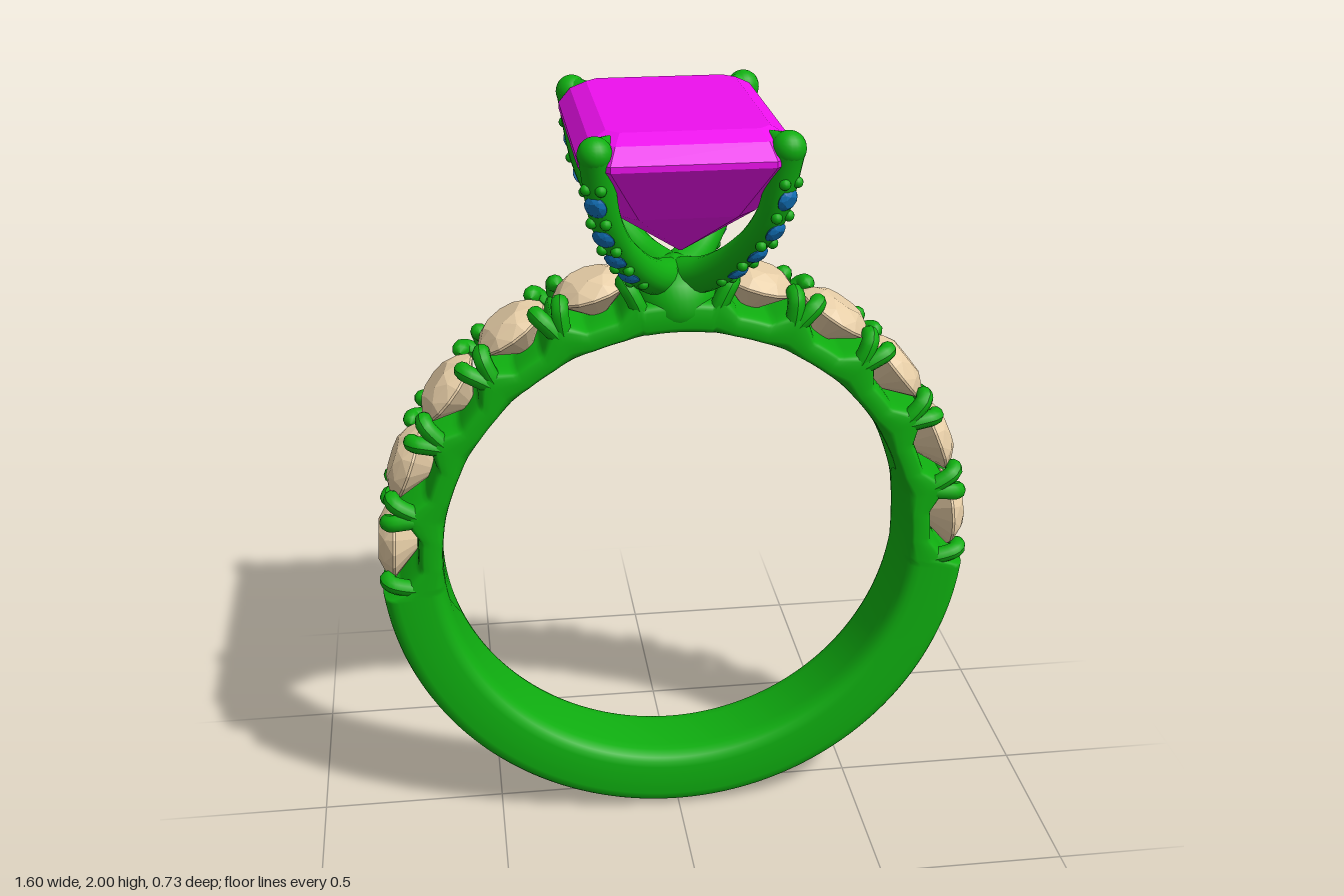
import * as THREE from 'three';
import { ConvexGeometry } from 'three/addons/geometries/ConvexGeometry.js';

const V = (x, y, z) => new THREE.Vector3(x, y, z);
const UP = V(0, 1, 0);
const CY = 0.797, OUTER = 0.797, INNER = 0.627, HALF_W = 0.122;
const STEP = 17.5, FIRST = -5.25, STONES = 5;

const metal = new THREE.MeshStandardMaterial({ color: 0x0fae10 });
const pale = new THREE.MeshStandardMaterial({ color: 0xe6cda6 });
const pink = new THREE.MeshStandardMaterial({ color: 0xee10ee });
const blue = new THREE.MeshStandardMaterial({ color: 0x1070b8 });

function add(parent, name, geometry, material) {
  const mesh = new THREE.Mesh(geometry, material);
  mesh.name = name;
  parent.add(mesh);
  return mesh;
}

// Tube whose radius follows a rule along its length
function taperedTube(curve, radiusAt, segments = 16, sides = 12) {
  const geo = new THREE.TubeGeometry(curve, segments, 1, sides);
  const pos = geo.attributes.position, p = V(0, 0, 0);
  for (let i = 0; i <= segments; i++) {
    const c = curve.getPointAt(i / segments), r = radiusAt(i / segments);
    for (let j = 0; j <= sides; j++) {
      const k = i * (sides + 1) + j;
      p.fromBufferAttribute(pos, k).sub(c).multiplyScalar(r).add(c);
      pos.setXYZ(k, p.x, p.y, p.z);
    }
  }
  geo.computeVertexNormals();
  return geo;
}

// Outer radius of the band: full below, scalloped under the stones
function bandRadius(deg) {
  let a = deg % 360;
  if (a > 90 && a < 270) a = 180 - a;
  if (a >= 270) a -= 360;
  if (a < FIRST) return OUTER;
  const f = (a - FIRST) / STEP;
  if (f > STONES) return 0.72;
  const away = Math.abs(f - Math.round(f)) * 2;
  return 0.755 - 0.06 * Math.min(1, away * 1.7);
}

// Rounded-rectangle section swept round the finger
function bandGeometry() {
  const N = 480, M = 28, pos = [], idx = [];
  const soft = v => Math.sign(v) * Math.pow(Math.abs(v), 0.45);
  for (let i = 0; i < N; i++) {
    const t = (i / N) * Math.PI * 2;
    const R = bandRadius((i / N) * 360), mid = (R + INNER) / 2, h = (R - INNER) / 2;
    for (let j = 0; j < M; j++) {
      const f = (j / M) * Math.PI * 2;
      const r = mid + h * soft(Math.cos(f));
      pos.push(r * Math.cos(t), CY + r * Math.sin(t), HALF_W * soft(Math.sin(f)));
      const i2 = (i + 1) % N, j2 = (j + 1) % M;
      const a = i * M + j, b = i2 * M + j, c = i2 * M + j2, d = i * M + j2;
      idx.push(a, b, c, a, c, d);
    }
  }
  const geo = new THREE.BufferGeometry();
  geo.setAttribute('position', new THREE.Float32BufferAttribute(pos, 3));
  geo.setIndex(idx);
  geo.computeVertexNormals();
  return geo;
}

// Round faceted stone, girdle at y = 0
function roundStone(r) {
  const pts = [V(0, -0.8 * r, 0)];
  const ring = (n, rad, y, turn) => {
    for (let i = 0; i < n; i++) {
      const a = ((i + turn) / n) * Math.PI * 2;
      pts.push(V(rad * Math.cos(a), y, rad * Math.sin(a)));
    }
  };
  ring(8, 0.54 * r, 0.4 * r, 0);
  ring(8, 0.8 * r, 0.25 * r, 0.5);
  ring(16, r, 0.03 * r, 0);
  ring(16, r, -0.03 * r, 0);
  return new ConvexGeometry(pts);
}

// Step-cut rectangular stone from clipped rectangles: y, half x, half z, corner clip
function stepCutStone() {
  const pts = [];
  for (const [y, x, z, c] of [
    [1.996, 0.195, 0.285, 0.03], [1.975, 0.235, 0.33, 0.055], [1.935, 0.265, 0.36, 0.07],
    [1.92, 0.265, 0.36, 0.07], [1.78, 0.17, 0.27, 0.05], [1.655, 0.004, 0.125, 0.002],
  ])
    for (const sx of [-1, 1]) for (const sz of [-1, 1])
      pts.push(V(sx * x, y, sz * (z - c)), V(sx * (x - c), y, sz * z));
  return new ConvexGeometry(pts);
}

export function createModel() {
  const model = new THREE.Group();
  model.name = 'ring';
  add(model, 'band', bandGeometry(), metal);

  // Point on the band: side, angle in degrees, radius, z
  const onBand = (s, deg, r, z) => {
    const a = THREE.MathUtils.degToRad(deg);
    return V(s * r * Math.cos(a), CY + r * Math.sin(a), z);
  };

  // Shoulder stones and their paired claws
  const shoulderStone = roundStone(0.105);
  const clawRadius = t => 0.023 * Math.sqrt(Math.max(0, 1 - Math.pow(Math.max(0, (t - 0.8) / 0.2), 2)));
  for (const s of [-1, 1]) {
    const shoulder = new THREE.Group();
    shoulder.name = s > 0 ? 'leftShoulder' : 'rightShoulder';
    model.add(shoulder);
    for (let i = 0; i < STONES; i++) {
      const deg = FIRST + STEP * (i + 0.5);
      const stone = add(shoulder, 'shoulderStone', shoulderStone, pale);
      stone.position.copy(onBand(s, deg, 0.756, 0));
      stone.quaternion.setFromUnitVectors(UP, onBand(s, deg, 1, 0).sub(V(0, CY, 0)));
    }
    for (let i = 0; i <= STONES; i++)
      for (const d of [-1, 1]) {
        if ((i === 0 && d < 0) || (i === STONES && d > 0)) continue;
        const deg = FIRST + STEP * i;
        for (const z of [-1, 1]) {
          const path = new THREE.CatmullRomCurve3([
            onBand(s, deg, 0.68, z * 0.095),
            onBand(s, deg + d * 1.2, 0.735, z * 0.1),
            onBand(s, deg + d * 2.2, 0.772, z * 0.092),
            onBand(s, deg + d * 2.8, 0.778, z * 0.05),
          ]);
          add(shoulder, 'shoulderClaw', taperedTube(path, clawRadius, 14, 10), metal);
        }
      }
  }

  // Hub joining the head to the band
  const hubProfile = [[0, 1.425], [0.07, 1.428], [0.1, 1.445], [0.112, 1.48], [0.11, 1.52], [0.095, 1.555], [0.06, 1.59], [0, 1.605]];
  const hub = add(model, 'hub', new THREE.LatheGeometry(hubProfile.map(p => new THREE.Vector2(...p)), 40), metal);
  hub.scale.z = 1.15;

  // Centre stone
  add(model, 'centreStone', stepCutStone(), pink);

  // Four curved prongs set with small stones and beads
  const smallStone = roundStone(0.029);
  const bead = new THREE.SphereGeometry(0.014, 12, 8);
  for (const sx of [-1, 1]) for (const sz of [-1, 1]) {
    const prong = new THREE.Group();
    prong.name = 'prong';
    model.add(prong);
    const at = (x, y, z) => V(sx * x, y, sz * z);
    const tip = at(0.227, 1.956, 0.322);
    const path = new THREE.CatmullRomCurve3([
      at(0.02, 1.555, 0.03), at(0.075, 1.585, 0.1), at(0.14, 1.66, 0.185), at(0.198, 1.78, 0.272), tip,
    ]);
    add(prong, 'prongArm', taperedTube(path, t => 0.05 - 0.014 * Math.min(1, t * 2) + 0.005 * Math.max(0, t - 0.5) * 2, 32, 16), metal);
    add(prong, 'prongTip', new THREE.SphereGeometry(0.042, 20, 14), metal).position.copy(tip);
    const claw = new THREE.LineCurve3(tip, at(0.178, 1.988, 0.268));
    add(prong, 'prongClaw', taperedTube(claw, t => 0.041 * (1 - t) + 0.001, 10, 16), metal);

    const frame = t => {
      const p = path.getPointAt(t), T = path.getTangentAt(t);
      const h = V(T.x, 0, T.z).normalize();
      const n = h.addScaledVector(T, -h.dot(T)).normalize();
      return { p, n, side: V(0, 0, 0).crossVectors(T, n) };
    };
    [0.33, 0.48, 0.635, 0.79].forEach((t, i) => {
      const { p, n } = frame(t);
      const stone = add(prong, 'prongStone', smallStone, blue);
      stone.position.copy(p).addScaledVector(n, 0.034);
      stone.quaternion.setFromUnitVectors(UP, n);
      for (const u of i === 3 ? [t - 0.077, t + 0.077] : [t - 0.077])
        for (const k of [-1, 1]) {
          const f = frame(u);
          add(prong, 'prongBead', bead, metal).position.copy(f.p)
            .addScaledVector(f.n, 0.034).addScaledVector(f.side, k * 0.019);
        }
    });
  }
  return model;
}
